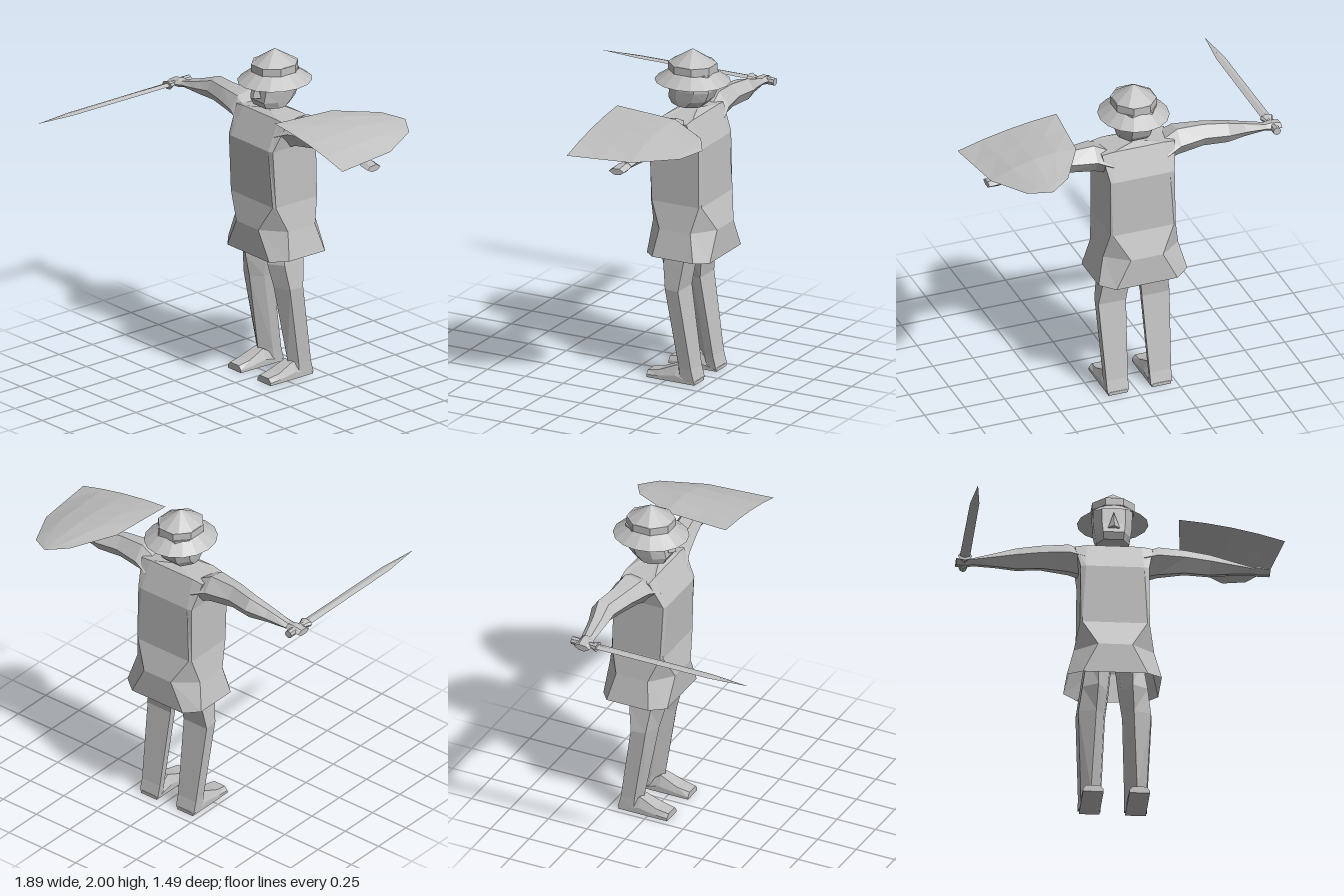
import * as THREE from 'three';

const grey = new THREE.MeshStandardMaterial({ color: 0xc0c0c0, flatShading: true, side: THREE.DoubleSide });
grey.name = 'plainGrey';
const CX = -0.027; // body midline

// Skin a list of rings (arrays of [x, y, z]); ends may be capped by a fan.
function loft(rings, capStart = true, capEnd = true) {
  const tris = [];
  const n = rings[0].length;
  for (let r = 0; r + 1 < rings.length; r++) {
    for (let i = 0; i < n; i++) {
      const j = (i + 1) % n;
      const a = rings[r][i], b = rings[r][j], c = rings[r + 1][j], d = rings[r + 1][i];
      tris.push([a, b, c], [a, c, d]);
    }
  }
  const cap = (ring, flip) => {
    for (let i = 1; i + 1 < n; i++) {
      tris.push(flip ? [ring[0], ring[i + 1], ring[i]] : [ring[0], ring[i], ring[i + 1]]);
    }
  };
  if (capStart) cap(rings[0], true);
  if (capEnd) cap(rings[rings.length - 1], false);
  return fromTriangles(tris);
}

// Make a geometry, turning all faces outward by the sign of the volume.
function fromTriangles(tris) {
  const o = new THREE.Vector3(...tris[0][0]);
  let volume = 0;
  for (const t of tris) {
    const [a, b, c] = t.map((p) => new THREE.Vector3(...p).sub(o));
    volume += a.dot(b.cross(c));
  }
  const list = volume < 0 ? tris.map(([a, b, c]) => [a, c, b]) : tris;
  const g = new THREE.BufferGeometry();
  g.setAttribute('position', new THREE.Float32BufferAttribute(list.flat(2), 3));
  g.computeVertexNormals();
  return g;
}

function add(parent, name, geometry, x = 0, y = 0, z = 0) {
  const m = new THREE.Mesh(geometry, grey);
  m.name = name;
  m.position.set(x, y, z);
  parent.add(m);
  return m;
}

// Ten-point coat ring: broad side faces, front and back panels with a centre point.
function coatRing(y, sideX, panelX, sideF, sideB, front, back, dip = 0) {
  return [
    [sideX, y, sideF], [panelX, y - dip, front], [0, y - dip, front], [-panelX, y - dip, front], [-sideX, y, sideF],
    [-sideX, y, sideB], [-panelX, y - dip, back], [0, y - dip, back], [panelX, y - dip, back], [sideX, y, sideB],
  ].map(([x, yy, z]) => [x + CX, yy, z]);
}

// Six-point arm ring in the plane across x.
function armRing(x, y0, y1, zBack, zFront) {
  const zm = (zBack + zFront) / 2, dz = (zFront - zBack) / 2;
  const h = y1 - y0;
  return [
    [x, y0, zm + dz * 0.3], [x, y0 + h * 0.5, zFront], [x, y1 - h * 0.1, zm + dz * 0.5],
    [x, y1, zm - dz * 0.4], [x, y0 + h * 0.55, zBack], [x, y0 + h * 0.1, zm - dz * 0.5],
  ];
}

// Five-point leg ring: flat outer side, front ridge, slanting inner side.
function legRing(y, outer, ridge, inner, front, back) {
  const d = back - front;
  return [
    [outer, y, front + d * 0.3], [ridge, y, front], [inner, y, front + d * 0.55],
    [inner - 0.01, y, back], [outer + 0.01, y, back],
  ];
}

function createModel() {
  const model = new THREE.Group();
  model.name = 'swordsman';

  // Coat, open at the hem
  const coat = [
    coatRing(0.78, 0.277, 0.19, -0.2, -0.47, -0.12, -0.535, 0.013),
    coatRing(0.945, 0.235, 0.1, -0.225, -0.43, -0.113, -0.535),
    coatRing(1.1, 0.204, 0.19, -0.16, -0.47, -0.147, -0.48),
    coatRing(1.45, 0.2, 0.17, -0.14, -0.465, -0.13, -0.47),
    coatRing(1.61, 0.228, 0.16, -0.22, -0.4, -0.215, -0.405, -0.01),
    coatRing(1.632, 0.04, 0.02, -0.27, -0.35, -0.26, -0.36, -0.006),
  ];
  add(model, 'coat', loft(coat, false, true));

  // Arms
  for (const s of [1, -1]) {
    const side = s > 0 ? 'left' : 'right';
    const rings = [
      [0.17, 1.45, 1.61, -0.44, -0.17], [0.26, 1.475, 1.657, -0.42, -0.2],
      [0.42, 1.5, 1.652, -0.4, -0.24], [0.565, 1.505, 1.642, -0.42, -0.275],
      [0.68, 1.51, 1.6, -0.385, -0.275], [0.82, 1.515, 1.555, -0.36, -0.28],
    ].map(([u, ...r]) => armRing(CX + s * u, ...r));
    add(model, side + 'Arm', loft(rings));
    const hand = [
      [0.8, 1.518, 1.552, -0.355, -0.285], [0.85, 1.505, 1.557, -0.365, -0.265],
      [0.915, 1.505, 1.545, -0.36, -0.26],
    ].map(([u, ...r]) => armRing(CX + s * u, ...r));
    add(model, side + 'Hand', loft(hand));
  }

  // Legs and feet
  for (const s of [1, -1]) {
    const side = s > 0 ? 'left' : 'right';
    const mirror = (ring) => ring.map(([x, y, z]) => [-0.02 + s * x, y, z]);
    const leg = [
      legRing(0.92, 0.16, 0.1, 0.02, -0.2, -0.39),
      legRing(0.72, 0.19, 0.1, 0.04, -0.175, -0.365),
      legRing(0.57, 0.212, 0.11, 0.06, -0.215, -0.345),
      legRing(0.09, 0.192, 0.135, 0.078, -0.3, -0.42),
      legRing(0.015, 0.192, 0.135, 0.078, -0.3, -0.44),
    ];
    add(model, side + 'Leg', loft(leg.map(mirror)));
    const foot = [[-0.44, 0.02, 0.05], [-0.31, 0.1, 0.035], [-0.2, 0.055, 0.045], [-0.122, 0.04, 0.04]]
      .map(([z, h, w]) => [
        [0.135 - 0.06, 0, z], [0.135 + 0.06, 0, z], [0.135 + 0.06, h * 0.4, z],
        [0.135 + w, h, z], [0.135 - w, h, z], [0.135 - 0.06, h * 0.4, z],
      ]);
    add(model, side + 'Foot', loft(foot.map(mirror)));
  }

  // Head with a small wedge nose
  const headRing = (y, w, front, back) => [
    [w, y, front - 0.07], [w * 0.6, y, front], [-w * 0.6, y, front], [-w, y, front - 0.07],
    [-w, y, back + 0.07], [-w * 0.55, y, back], [w * 0.55, y, back], [w, y, back + 0.07],
  ].map(([x, yy, z]) => [x + CX - 0.003, yy, z]);
  add(model, 'head', loft([
    headRing(1.66, 0.095, -0.21, -0.39), headRing(1.7, 0.103, -0.19, -0.43),
    headRing(1.76, 0.112, -0.2, -0.455), headRing(1.87, 0.115, -0.21, -0.455),
  ]));
  const nose = new THREE.ConeGeometry(0.035, 0.1, 4);
  add(model, 'nose', nose, CX - 0.003, 1.775, -0.19);

  // Hat: sloping brim, raised band and pointed crown
  const hat = new THREE.Group();
  hat.name = 'hat';
  hat.position.set(CX, 0, -0.32);
  hat.scale.z = 1.09;
  model.add(hat);
  add(hat, 'hatBrim', new THREE.CylinderGeometry(0.12, 0.208, 0.066, 16, 1, true), 0, 1.838, 0);
  add(hat, 'hatBand', new THREE.CylinderGeometry(0.134, 0.134, 0.046, 8), 0, 1.892, 0).rotation.y = Math.PI / 8;
  add(hat, 'hatCrown', new THREE.ConeGeometry(0.126, 0.085, 10), 0, 1.957, 0);

  // Sword held forward in the right hand
  const sword = new THREE.Group();
  sword.name = 'sword';
  sword.position.set(-0.895, 1.53, 0);
  model.add(sword);
  const blade = [[-0.26, 0.03, 0.011], [0.5, 0.027, 0.007], [0.74, 0.001, 0.001]]
    .map(([z, w, t]) => [[w, 0, z], [0, t, z], [-w, 0, z], [0, -t, z]]);
  add(sword, 'blade', loft(blade));
  const guard = add(sword, 'guard', new THREE.CylinderGeometry(0.02, 0.042, 0.045, 8), 0, 0, -0.25);
  guard.rotation.x = -Math.PI / 2;
  guard.scale.z = 0.6;
  const grip = add(sword, 'grip', new THREE.CylinderGeometry(0.016, 0.016, 0.12, 8), 0, 0, -0.31);
  grip.rotation.x = Math.PI / 2;
  const pommel = add(sword, 'pommel', new THREE.CylinderGeometry(0.024, 0.024, 0.05, 8), 0, 0, -0.37);
  pommel.rotation.x = Math.PI / 2;

  // Shield: tilted, bulging plate with a rounded point at the back
  const rows = [
    [-0.018, 0.335, 0.953, 0.018], [-0.22, 0.353, 0.928, 0.03], [-0.42, 0.37, 0.903, 0.038],
    [-0.67, 0.52, 0.775, 0.012], [-0.745, 0.64, 0.65, 0],
  ].map(([z, x0, x1, bulge]) => [0, 0.25, 0.5, 0.75, 1].map((t) => {
    const x = x0 + (x1 - x0) * t;
    const y = 1.71 - (x - 0.335) * 0.186 + bulge * 4 * t * (1 - t);
    return [x, y, z];
  }));
  const tris = [];
  for (let r = 0; r < 4; r++) {
    for (let i = 0; i < 4; i++) {
      const a = rows[r][i], b = rows[r][i + 1], c = rows[r + 1][i + 1], d = rows[r + 1][i];
      tris.push([a, b, c], [a, c, d]);
    }
  }
  add(model, 'shield', fromTriangles(tris));

  return model;
}

export { createModel };
